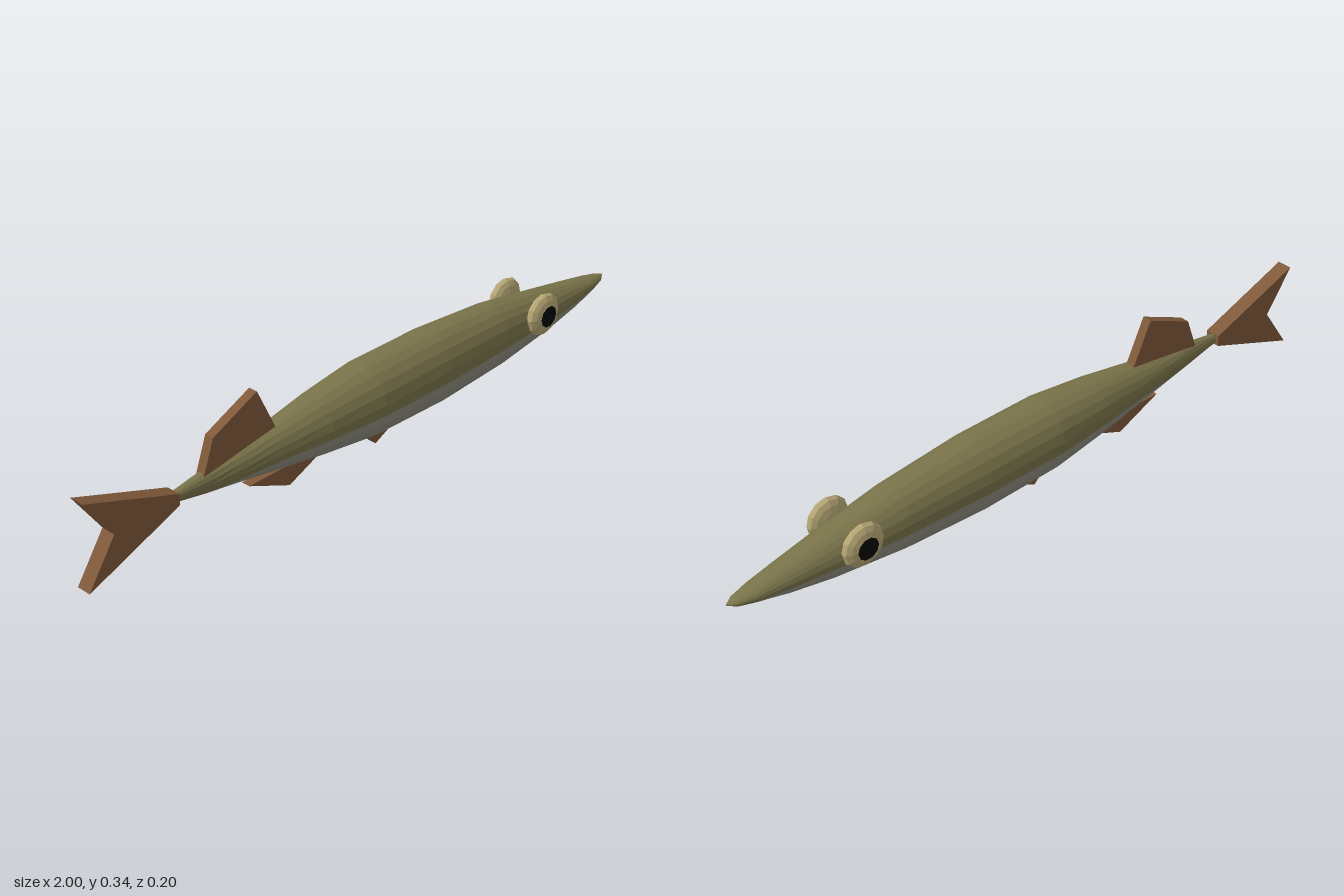
import * as THREE from 'three';

const mat = (name, color, extra = {}) => {
  const m = new THREE.MeshStandardMaterial({ color, flatShading: true, ...extra });
  m.name = name;
  return m;
};

// Body stations from tail to snout: x, bottom, top, half width, height of the belly line
const STATIONS = [
  [-0.71, 0.135, 0.165, 0.012, 0.145], [-0.6, 0.115, 0.182, 0.024, 0.122],
  [-0.5, 0.102, 0.195, 0.038, 0.125], [-0.38, 0.084, 0.213, 0.054, 0.132],
  [-0.22, 0.061, 0.239, 0.076, 0.134], [-0.04, 0.039, 0.26, 0.093, 0.134],
  [0.22, 0.033, 0.261, 0.093, 0.134], [0.48, 0.046, 0.243, 0.08, 0.134],
  [0.7, 0.075, 0.206, 0.062, 0.134], [0.83, 0.1, 0.184, 0.046, 0.136],
  [0.92, 0.123, 0.168, 0.032, 0.138], [0.97, 0.136, 0.158, 0.019, 0.146],
  [0.995, 0.147, 0.15, 0.002, 0.1485],
];

// Lofted strip of the body: the back lies above the belly line, the underside below it
function skin(stations, isBack) {
  const N = 12, pos = [], idx = [];
  stations.forEach(([x, bottom, top, w, line]) => {
    const cy = (top + bottom) / 2, h = (top - bottom) / 2;
    const a = Math.asin(THREE.MathUtils.clamp((line - cy) / h, -0.95, 0.95));
    const from = isBack ? a : -Math.PI - a;
    const to = isBack ? Math.PI - a : a;
    for (let j = 0; j <= N; j++) {
      const t = from + (to - from) * j / N;
      pos.push(x, cy + h * Math.sin(t), w * Math.cos(t));
    }
  });
  for (let i = 0; i < stations.length - 1; i++) {
    for (let j = 0; j < N; j++) {
      const p = i * (N + 1) + j, q = p + N + 1;
      idx.push(p, q, q + 1, p, q + 1, p + 1);
    }
  }
  const g = new THREE.BufferGeometry();
  g.setAttribute('position', new THREE.Float32BufferAttribute(pos, 3));
  g.setIndex(idx);
  g.computeVertexNormals();
  return g;
}

// Slab fin from a side outline, centred on z = 0
function fin(points, thickness) {
  const shape = new THREE.Shape(points.map(([x, y]) => new THREE.Vector2(x, y)));
  return new THREE.ExtrudeGeometry(shape, { depth: thickness, bevelEnabled: false })
    .translate(0, 0, -thickness / 2);
}

export function createModel() {
  const fish = new THREE.Group();
  fish.name = 'fish';
  const olive = mat('olive', 0x7a744a, { side: THREE.DoubleSide });
  const silver = mat('silver', 0x8e8c7e, { side: THREE.DoubleSide });
  const brown = mat('brown', 0x80593a);
  const cream = mat('cream', 0xb9aa76);
  const black = mat('black', 0x060606);

  const add = (name, geometry, material, parent = fish) => {
    const m = new THREE.Mesh(geometry, material);
    m.name = name;
    parent.add(m);
    return m;
  };

  // Body
  add('back', skin(STATIONS, true), olive);
  add('tailUnderside', skin(STATIONS.slice(0, 2), false), olive);
  add('belly', skin(STATIONS.slice(1, 11), false), silver);
  add('chin', skin(STATIONS.slice(10), false), olive);

  // Fins
  add('tailFin', fin([[-0.705, 0.135], [-0.705, 0.168], [-1, 0.275], [-0.913, 0.15], [-1, 0.02]], 0.044), brown);
  add('dorsalFin', fin([[-0.62, 0.165], [-0.37, 0.19], [-0.37, 0.212], [-0.43, 0.34], [-0.582, 0.27]], 0.028), brown);
  add('analFin', fin([[-0.467, 0.077], [-0.325, 0.015], [-0.22, 0.06], [-0.23, 0.077]], 0.028), brown);
  add('pelvicFin', fin([[-0.045, 0.045], [0, 0], [0.085, 0.042]], 0.028), brown);

  // Eyes, flattened and facing sideways
  for (const s of [1, -1]) {
    const eye = new THREE.Group();
    eye.name = s > 0 ? 'rightEye' : 'leftEye';
    eye.position.set(0.63, 0.177, s * 0.071);
    if (s < 0) eye.rotation.y = Math.PI;
    fish.add(eye);
    const ball = new THREE.SphereGeometry(1, 12, 8).rotateX(Math.PI / 2).scale(0.065, 0.065, 0.023);
    add('eyeball', ball, cream, eye);
    const pupil = new THREE.SphereGeometry(1, 10, 2, 0, Math.PI * 2, 0, 0.52)
      .rotateX(Math.PI / 2).scale(0.066, 0.066, 0.027);
    add('pupil', pupil, black, eye);
  }
  return fish;
}
